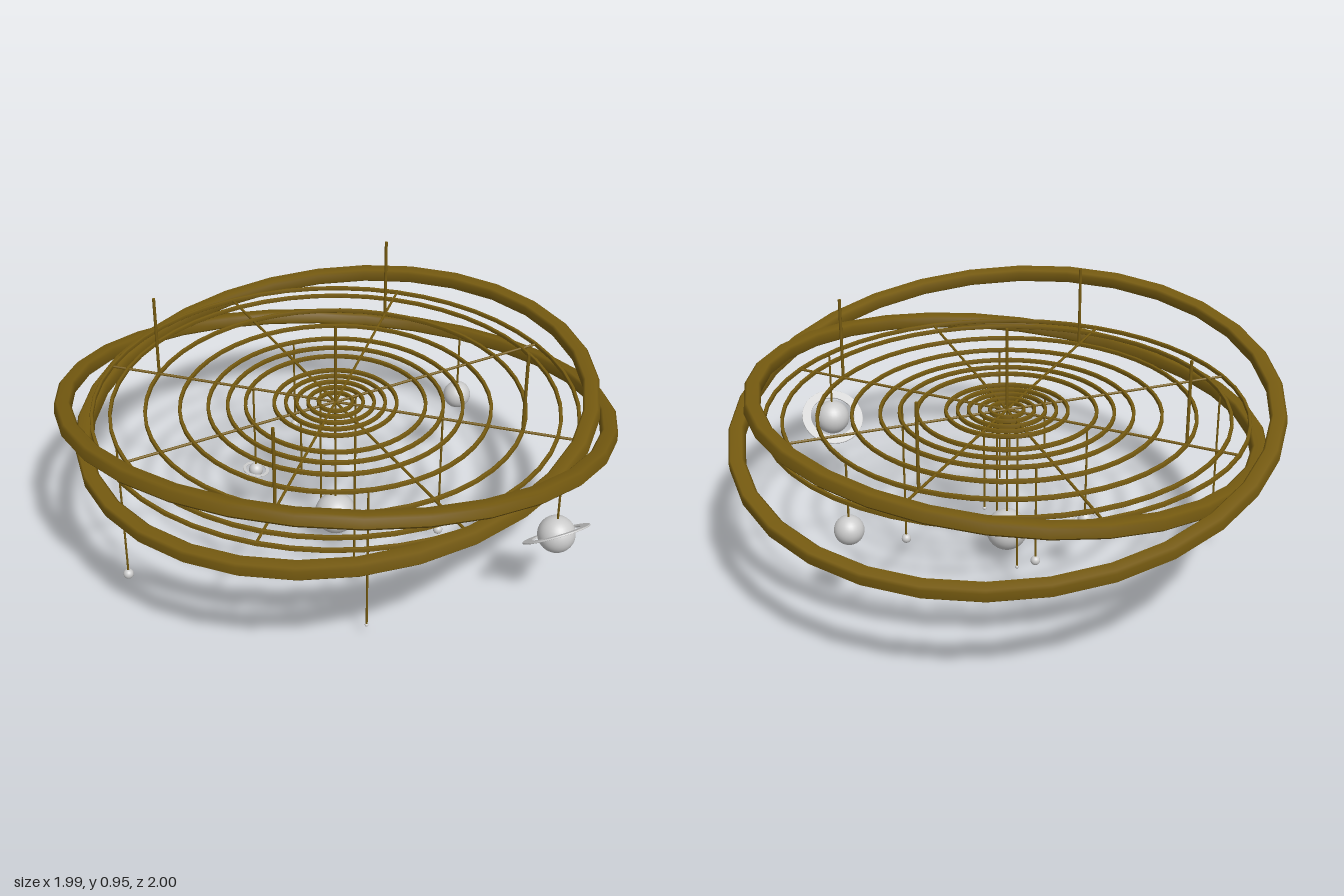
import * as THREE from 'three';
import { toCreasedNormals } from 'three/addons/utils/BufferGeometryUtils.js';

const brass = new THREE.MeshStandardMaterial({ color: 0x755a10 });
const grey = new THREE.MeshStandardMaterial({ color: 0xcccccc });

const CX = -0.006;   // centre of the grid
const GRID_Y = 0.632;

function add(parent, name, geometry, material, x = 0, y = 0, z = 0) {
  const mesh = new THREE.Mesh(geometry, material);
  mesh.name = name;
  mesh.position.set(x, y, z);
  parent.add(mesh);
  return mesh;
}

// Upright rod between two heights
function rod(parent, name, x, z, y0, y1, r) {
  return add(parent, name, new THREE.CylinderGeometry(r, r, y1 - y0, 8), brass, x, (y0 + y1) / 2, z);
}

// Flat-lying ring with a chamfered section of half width w and half height h
function ringGeometry(radius, w, h, segments) {
  const c = Math.min(w, h) * 0.35;
  const section = [
    [w, -h + c], [w, h - c], [w - c, h], [c - w, h],
    [-w, h - c], [-w, c - h], [c - w, -h], [w - c, -h], [w, -h + c],
  ];
  return new THREE.LatheGeometry(section.map(([x, y]) => new THREE.Vector2(radius + x, y)), segments);
}

// Big hoop lying in the plane y = GRID_Y + a*x + b*z
function hoop(parent, name, x, radius, a, b) {
  const mesh = add(parent, name, ringGeometry(radius, 0.029, 0.025, 30), brass, x, GRID_Y, 0);
  const normal = new THREE.Vector3(-a, 1, -b).normalize();
  mesh.quaternion.setFromUnitVectors(new THREE.Vector3(0, 1, 0), normal);
}

// Thin flat band around a planet
function band(parent, x, y, z, inner, outer, h, tiltX, tiltZ) {
  const geometry = toCreasedNormals(ringGeometry((inner + outer) / 2, (outer - inner) / 2, h, 40), 0.5);
  const mesh = add(parent, 'planetRing', geometry, grey, x, y, z);
  mesh.rotation.set(tiltX, 0, tiltZ);
}

export function createModel() {
  const model = new THREE.Group();
  model.name = 'hangingOrrery';

  // Two tilted outer hoops
  hoop(model, 'outerHoop', 0, 0.979, -0.13, 0.145);
  hoop(model, 'innerHoop', CX, 0.918, 0.113, 0.01);

  // Flat grid: concentric orbit rings and four full-width spokes
  const grid = new THREE.Group();
  grid.name = 'orbitGrid';
  grid.position.set(CX, GRID_Y, 0);
  model.add(grid);
  for (const r of [0.062, 0.1, 0.14, 0.18, 0.222, 0.326, 0.39, 0.46, 0.562, 0.686, 0.811, 0.876]) {
    add(grid, 'orbitRing', ringGeometry(r, 0.006, 0.008, 48), brass);
  }
  for (let i = 0; i < 4; i++) {
    const spoke = add(grid, 'spoke', new THREE.CylinderGeometry(0.005, 0.005, 1.76, 8).rotateZ(Math.PI / 2), brass);
    spoke.rotation.y = i * Math.PI / 4;
  }

  // Ceiling rods: one in the middle, four on the diagonals
  rod(model, 'ceilingRod', CX, 0, GRID_Y, 0.948, 0.006);
  for (const sx of [-1, 1]) {
    for (const sz of [-1, 1]) rod(model, 'ceilingRod', CX + sx * 0.485, sz * 0.485, GRID_Y, 0.948, 0.006);
  }

  // Hanging balls: name, x, y, z, radius
  const balls = [
    ['sun', CX, 0.135, 0, 0.079],
    ['planet', -0.035, 0.411, 0.052, 0.006],
    ['planet', 0.091, 0.256, -0.024, 0.007],
    ['planet', 0.005, 0.05, -0.139, 0.007],
    ['planet', -0.178, 0.411, 0.06, 0.007],
    ['planet', -0.046, 0.033, 0.219, 0.033],
    ['ringedPlanet', -0.223, 0.263, -0.236, 0.027],
    ['planet', 0.335, 0.06, 0.19, 0.018],
    ['planet', 0.055, 0.263, -0.453, 0.017],
    ['planet', -0.173, 0.053, 0.54, 0.007],
    ['planet', 0.649, 0.364, -0.197, 0.053],
    ['planet', -0.8, 0.044, -0.138, 0.019],
    ['ringedPlanet', 0.471, 0.354, 0.738, 0.067],
  ];
  for (const [name, x, y, z, r] of balls) {
    add(model, name, new THREE.SphereGeometry(r, 28, 18), grey, x, y, z);
    rod(model, 'hangingRod', x, z, y, GRID_Y, 0.004);
  }

  // Bands of the two ringed planets
  band(model, 0.471, 0.354, 0.738, 0.087, 0.122, 0.003, -0.64, 0);
  band(model, -0.223, 0.263, -0.236, 0.038, 0.05, 0.002, 0.06, -0.15);

  return model;
}
